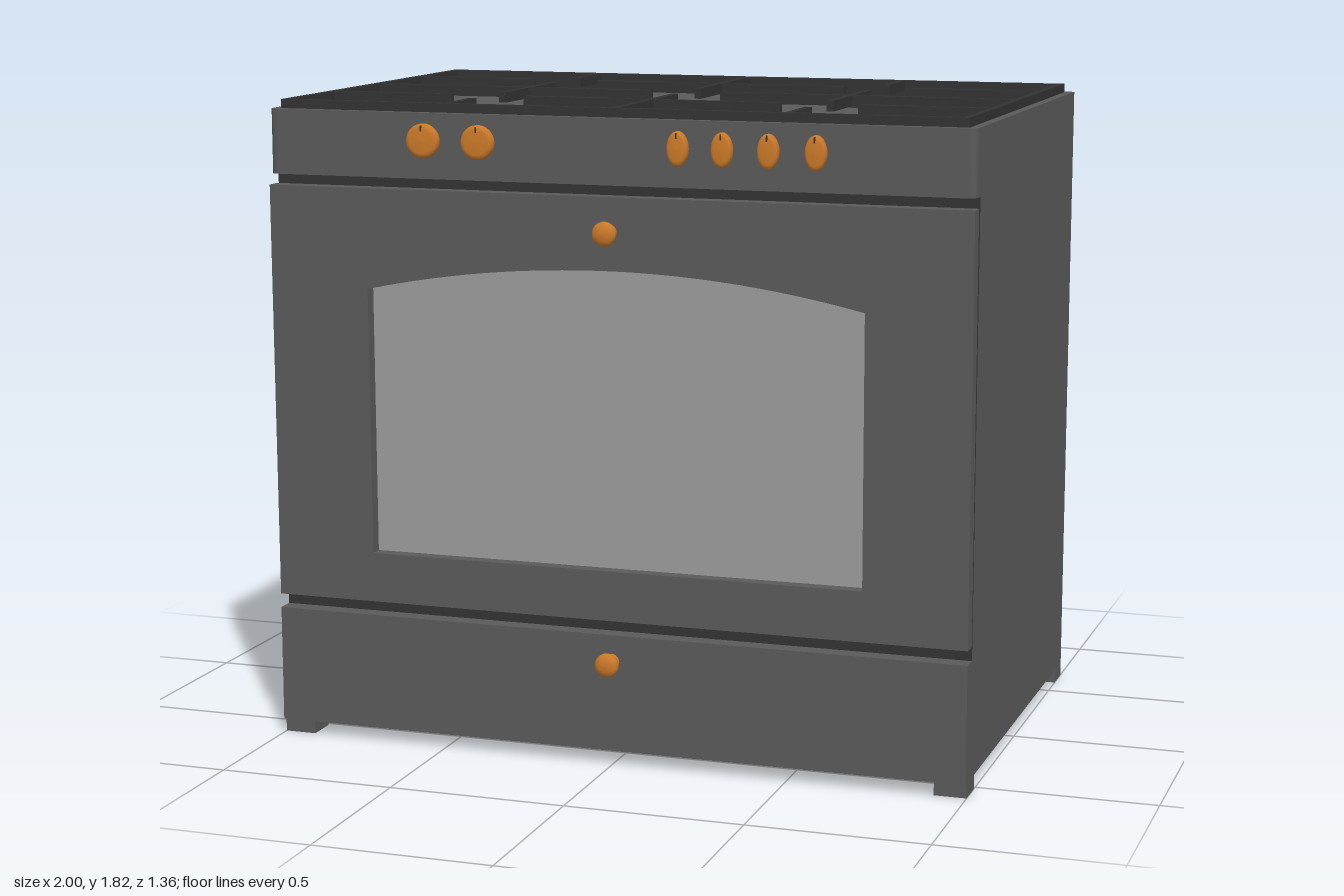
import * as THREE from 'three';

const mat = (color, side = THREE.FrontSide) => new THREE.MeshStandardMaterial({ color, side });
const STEEL = mat(0x5a5a5a);
const DARK = mat(0x333333);
const BOWL = mat(0x333333, THREE.DoubleSide);
const GLASS = mat(0x9c9c9c);
const ORANGE = mat(0xcc7a29);

const V = (x, y) => new THREE.Vector2(x, y);

function add(parent, name, geometry, material) {
  const mesh = new THREE.Mesh(geometry, material);
  mesh.name = name;
  parent.add(mesh);
  return mesh;
}

// Box given by its limits on each axis
function box(parent, name, [x0, x1], [y0, y1], [z0, z1], material = STEEL) {
  const g = new THREE.BoxGeometry(x1 - x0, y1 - y0, z1 - z0);
  g.translate((x0 + x1) / 2, (y0 + y1) / 2, (z0 + z1) / 2);
  return add(parent, name, g, material);
}

// Closed outline made of straight lines
const polygon = (points) => new THREE.Shape(points.map(([x, y]) => V(x, y)));

// Round part turned about the z axis
function turned(points, segments = 32) {
  return new THREE.LatheGeometry(points.map(([r, h]) => V(r, h)), segments).rotateX(Math.PI / 2);
}

// Window outline with a shallow arched top
function windowShape() {
  const w = 0.71, radius = 3.19, half = Math.asin(w / radius);
  const s = new THREE.Shape();
  s.moveTo(-w, 0.55);
  s.lineTo(w, 0.55);
  s.lineTo(w, 1.30);
  s.absarc(0, 1.38 - radius, radius, Math.PI / 2 - half, Math.PI / 2 + half, false);
  s.closePath();
  return s;
}

const BURNERS = [
  [-0.485, -0.35, 0.103], [0.485, -0.35, 0.103], [0, -0.035, 0.075],
  [-0.485, 0.28, 0.167], [0.485, 0.28, 0.14],
];

function buildHob(group) {
  // Raised rim and control panel in one ring, front corners rounded
  const rim = new THREE.Shape();
  rim.moveTo(-1, 0.68);
  rim.lineTo(-1, -0.595);
  rim.quadraticCurveTo(-1, -0.62, -0.975, -0.62);
  rim.lineTo(0.975, -0.62);
  rim.quadraticCurveTo(1, -0.62, 1, -0.595);
  rim.lineTo(1, 0.68);
  rim.closePath();
  const inner = [[-0.975, -0.595], [0.975, -0.595], [0.975, 0.66], [-0.975, 0.66]];
  rim.holes.push(polygon(inner));
  const rimGeo = new THREE.ExtrudeGeometry(rim, { depth: 0.18, bevelEnabled: false });
  add(group, 'hobRimAndControlPanel', rimGeo.rotateX(-Math.PI / 2).translate(0, 1.61, 0), STEEL);

  // Sunken hob plate with a round opening for each burner
  const plate = polygon(inner);
  for (const [x, z, r] of BURNERS) {
    plate.holes.push(new THREE.Path().absarc(x, -z, r, 0, Math.PI * 2, true));
  }
  const plateGeo = new THREE.ShapeGeometry(plate, 24);
  add(group, 'hobPlate', plateGeo.rotateX(-Math.PI / 2).translate(0, 1.76, 0), STEEL);

  // Burner bowls
  for (const [x, z, r] of BURNERS) {
    const profile = [];
    for (let i = 0; i <= 12; i++) {
      const a = (i / 12) * Math.PI / 2;
      profile.push(V(r * Math.sin(a), -0.4 * r * Math.cos(a)));
    }
    add(group, 'burnerBowl', new THREE.LatheGeometry(profile, 48), BOWL).position.set(x, 1.76, z);
  }
}

function buildGrate(group) {
  const grate = new THREE.Group();
  grate.name = 'panGrate';
  group.add(grate);
  const w = 0.01, height = [1.785, 1.815];

  // Outer frame
  for (const s of [-1, 1]) {
    box(grate, 'grateSide', [s * 0.965 - w, s * 0.965 + w], [1.76, 1.815], [-0.655, 0.595], DARK);
  }
  for (const z of [-0.645, 0.585]) {
    box(grate, 'grateEnd', [-0.955, 0.955], [1.76, 1.815], [z - w, z + w], DARK);
  }

  // Bars across, interrupted at the burners
  const across = [
    [-0.35, [[-0.96, -0.585], [-0.385, 0.385], [0.585, 0.96]]],
    [-0.035, [[-0.96, -0.105], [0.105, 0.96]]],
    [0.275, [[-0.96, -0.595], [-0.375, 0.375], [0.595, 0.96]]],
  ];
  for (const [z, spans] of across) {
    for (const span of spans) box(grate, 'crossBar', span, height, [z - w, z + w], DARK);
  }

  // Bars from front to back
  const outer = [[-0.64, -0.45], [-0.24, 0.17], [0.39, 0.58]];
  const along = [[-0.485, outer], [0, [[-0.64, -0.14], [0.07, 0.58]]], [0.485, outer]];
  for (const [x, spans] of along) {
    for (const span of spans) box(grate, 'lengthBar', [x - w, x + w], height, span, DARK);
  }
}

function buildDoor(group) {
  // Oven door, leaning very slightly forward at the top
  const door = new THREE.Group();
  door.name = 'ovenDoor';
  door.position.set(0, 0.41, 0.574);
  door.rotation.x = 0.006;
  group.add(door);

  const frame = polygon([[-1, 0.41], [1, 0.41], [1, 1.58], [-1, 1.58]]);
  frame.holes.push(windowShape());
  const frameGeo = new THREE.ExtrudeGeometry(frame, { depth: 0.046, bevelEnabled: false, curveSegments: 32 });
  add(door, 'doorFrame', frameGeo.translate(0, -0.41, 0), STEEL);

  const glassGeo = new THREE.ExtrudeGeometry(windowShape(), { depth: 0.006, bevelEnabled: false, curveSegments: 32 });
  add(door, 'doorWindow', glassGeo.translate(0, -0.41, 0.002), GLASS);
}

function buildKnobs(group) {
  // Pull knobs on the door and the drawer
  const pull = turned([
    [0.024, -0.005], [0.02, 0.008], [0.018, 0.02], [0.027, 0.027], [0.033, 0.035],
    [0.033, 0.044], [0.028, 0.052], [0.015, 0.057], [0, 0.058],
  ]);
  add(group, 'doorKnob', pull, ORANGE).position.set(0, 1.485, 0.626);
  add(group, 'drawerKnob', pull, ORANGE).position.set(0, 0.295, 0.62);

  // Round and oval control knobs with a pointer mark
  const dial = turned([
    [0.044, -0.004], [0.047, 0.004], [0.047, 0.016], [0.043, 0.022], [0.034, 0.025], [0, 0.026],
  ]);
  const dials = [[-0.535, 1], [-0.375, 1], [0.195, 0.62], [0.318, 0.62], [0.445, 0.62], [0.575, 0.62]];
  for (const [x, width] of dials) {
    const knob = add(group, 'controlKnob', dial, ORANGE);
    knob.position.set(x, 1.715, 0.62);
    knob.scale.x = width;
    box(group, 'knobPointer', [x - 0.002, x + 0.002], [1.742, 1.758], [0.635, 0.6455], DARK);
  }
}

export function createModel() {
  const group = new THREE.Group();
  group.name = 'cooker';

  // Cabinet, the dark recess behind the door, and the drawer
  box(group, 'cabinet', [-1, 1], [0.04, 1.61], [-0.68, 0.568]);
  box(group, 'doorRecess', [-1, 1], [0.37, 1.61], [0.568, 0.57], DARK);
  box(group, 'drawerFront', [-1, 1], [0.04, 0.37], [0.568, 0.62]);

  // Feet
  for (const s of [-1, 1]) {
    const x = s < 0 ? [-1, -0.91] : [0.91, 1];
    box(group, 'frontFoot', x, [0, 0.04], [0.515, 0.605]);
    box(group, 'backFoot', x, [0, 0.04], [-0.68, -0.59]);
  }

  buildHob(group);
  buildGrate(group);
  buildDoor(group);
  buildKnobs(group);

  // Centre the full depth, pull knobs included
  group.updateMatrixWorld(true);
  const bounds = new THREE.Box3().setFromObject(group);
  for (const part of group.children) part.position.z -= (bounds.min.z + bounds.max.z) / 2;
  return group;
}
